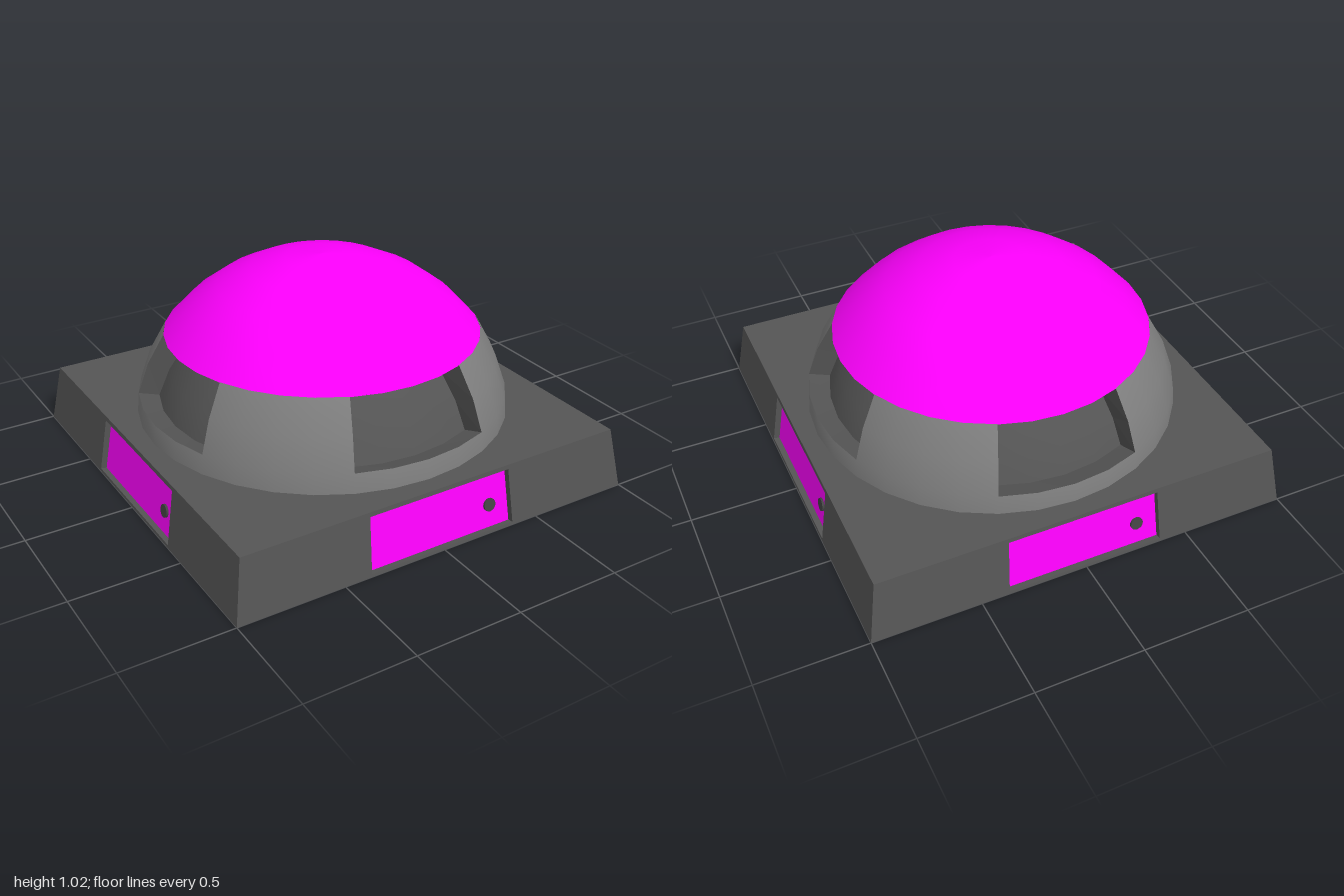
import * as THREE from 'three';

const paint = color => new THREE.MeshStandardMaterial({ color });
const darkGrey = paint(0x555555);
const midGrey = paint(0x808080);
const knobGrey = paint(0x444444);
const magenta = paint(0xff00ff);
const SEGMENTS = 32;
const HALF = Math.PI / 8; // half the angle of one window
const V = (x, y, z) => new THREE.Vector3(x, y, z);

function add(parent, name, geometry, material = darkGrey) {
  const mesh = new THREE.Mesh(geometry, material);
  mesh.name = name;
  parent.add(mesh);
  return mesh;
}

// Surface through rows of points; faces along (column direction) x (row direction)
function skin(rows, flat = false) {
  const n = rows[0].length, index = [];
  for (let j = 0; j < rows.length - 1; j++)
    for (let i = 0; i < n - 1; i++) {
      const a = j * n + i, b = a + 1, c = b + n, d = a + n;
      index.push(a, b, d, b, c, d);
    }
  let g = new THREE.BufferGeometry().setFromPoints(rows.flat());
  g.setIndex(index);
  if (flat) g = g.toNonIndexed();
  g.computeVertexNormals();
  return g;
}

const polar = (r, y, angle) => V(r * Math.sin(angle), y, r * Math.cos(angle));

// Arc of points from -half to +half around the front
function arc([r, y], half) {
  return Array.from({ length: 5 }, (_, i) => polar(r, y, half * (i / 2 - 1)));
}

const lathe = (points, steps, start = 0, sweep = Math.PI * 2) =>
  new THREE.LatheGeometry(points.map(p => new THREE.Vector2(...p)), steps, start, sweep);

// Shared smooth normals, so that the foot and the piers shade as one dome
function domeNormals(g) {
  const p = g.attributes.position;
  for (let i = 0; i < p.count; i++) {
    const x = p.getX(i), y = p.getY(i), z = p.getZ(i);
    const n = V(x, Math.hypot(x, z) * (0.1 + 1.25 * (y - 0.3)), z).normalize();
    g.attributes.normal.setXYZ(i, n.x, n.y, n.z);
  }
  return g;
}

export function createModel() {
  const model = new THREE.Group();
  model.name = 'domedBuilding';

  // Square base with sloping walls
  const H = 0.285, TOP = 0.955, RUN = 1 - TOP, slant = Math.hypot(H, RUN);
  const plate = (s, y, up) => {
    const g = new THREE.PlaneGeometry(s * 2, s * 2);
    g.rotateX(up ? -Math.PI / 2 : Math.PI / 2);
    return g.translate(0, y, 0);
  };
  add(model, 'baseTop', plate(TOP, H, true));
  add(model, 'baseBottom', plate(1, 0, false));

  const RECESS = 0.028;
  const opening = [[-0.37, 0.013], [0.37, 0.013], [0.358, 0.268], [-0.358, 0.268]];
  const loop = z => [...opening, opening[0]].map(([x, y]) => V(x, y, z));
  const outline = points => points.map(p => new THREE.Vector2(...p));
  const wallShape = new THREE.Shape(outline([[-1, 0], [1, 0], [TOP, slant], [-TOP, slant]]));
  wallShape.holes.push(new THREE.Path(outline(opening)));
  const wallGeo = new THREE.ShapeGeometry(wallShape);
  const doorGeo = new THREE.ShapeGeometry(new THREE.Shape(outline(opening)));
  const frameGeo = skin([loop(0), loop(-RECESS)], true);
  const knobGeo = new THREE.CylinderGeometry(0.03, 0.03, 0.02, 16).rotateX(Math.PI / 2);

  // Dome profile and the recessed window profile behind it
  const outer = [[0.863, 0.378], [0.812, 0.525], [0.733, 0.668]];
  const inner = [[0.768, 0.35], [0.715, 0.48], [0.63, 0.61]];
  const INNER_HALF = HALF * 1.07;
  const jamb = side => {
    const rows = outer.map((p, i) => {
      const edge = [polar(...p, side * HALF), polar(...inner[i], side * INNER_HALF)];
      return side < 0 ? edge : edge.reverse();
    });
    return skin(rows, true);
  };
  const pierGeo = domeNormals(lathe(outer, 4, HALF, HALF * 2));
  const sillGeo = skin([arc(outer[0], HALF), arc(inner[0], INNER_HALF)]);
  const paneGeo = skin(inner.map(p => arc(p, INNER_HALF)));
  const lintelGeo = skin([arc(inner[2], INNER_HALF), arc(outer[2], HALF)]);
  const jambGeos = [jamb(-1), jamb(1)];

  for (let k = 0; k < 4; k++) {
    const side = new THREE.Group();
    side.name = 'side';
    side.rotation.y = k * Math.PI / 2;
    model.add(side);

    // Wall with a recessed door
    const wall = new THREE.Group();
    wall.name = 'wallWithDoor';
    wall.position.z = 1;
    wall.rotation.x = -Math.atan2(RUN, H);
    side.add(wall);
    add(wall, 'wall', wallGeo);
    add(wall, 'doorFrame', frameGeo);
    add(wall, 'door', doorGeo, magenta).position.z = -RECESS;
    add(wall, 'doorKnob', knobGeo, knobGrey).position.set(0.265, 0.12, -RECESS);

    // Dome pier and the window beside it
    add(side, 'domePier', pierGeo, midGrey);
    add(side, 'windowSill', sillGeo);
    add(side, 'windowPane', paneGeo);
    add(side, 'windowLintel', lintelGeo);
    jambGeos.forEach(g => add(side, 'windowJamb', g));
  }

  // Ring at the foot of the dome
  add(model, 'domeFoot', domeNormals(lathe([[0.872, H], outer[0]], SEGMENTS)), midGrey);

  // Coloured cap, a shallow slice of a sphere
  const R = 0.936, rim = Math.asin(0.733 / R);
  const capProfile = [];
  for (let i = 0; i <= 5; i++) {
    const a = rim * (1 - i / 5);
    capProfile.push([R * Math.sin(a), 1.02 - R + R * Math.cos(a)]);
  }
  add(model, 'domeCap', lathe(capProfile, SEGMENTS), magenta);

  return model;
}
